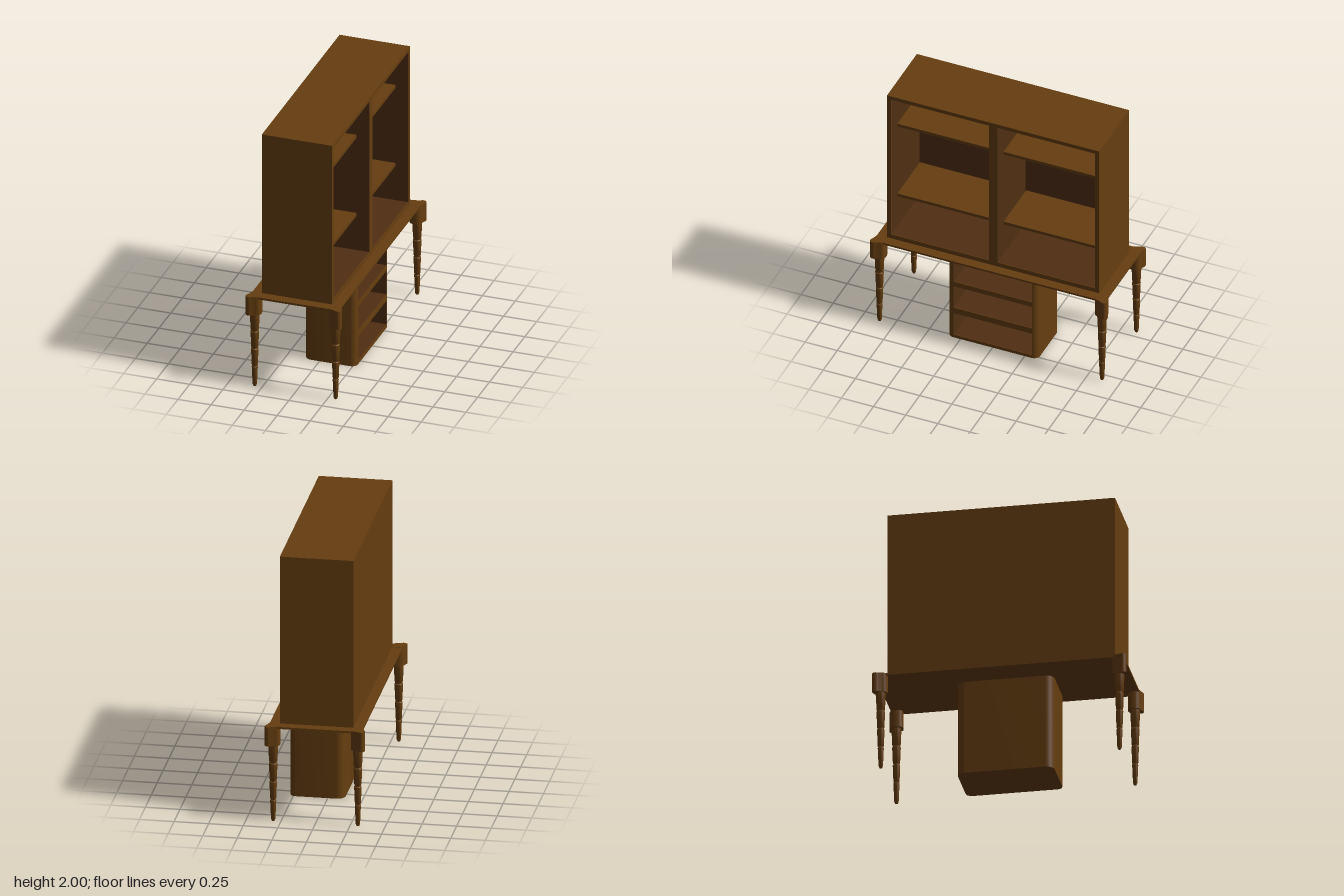
import * as THREE from 'three';
import { toCreasedNormals } from 'three/addons/utils/BufferGeometryUtils.js';

export function createModel() {
  const model = new THREE.Group();
  model.name = 'deskWithBookcase';
  const wood = new THREE.MeshStandardMaterial({ color: 0x663e10 });
  wood.name = 'brown wood';
  const dark = new THREE.MeshStandardMaterial({ color: 0x502f12 });
  dark.name = 'dark interior wood';

  const add = (name, geo, mat = wood, parent = model) => {
    const m = new THREE.Mesh(geo, mat);
    m.name = name;
    parent.add(m);
    return m;
  };
  // Box given by its limits on each axis
  const span = (x0, x1, y0, y1, z0, z1) =>
    new THREE.BoxGeometry(x1 - x0, y1 - y0, z1 - z0)
      .translate((x0 + x1) / 2, (y0 + y1) / 2, (z0 + z1) / 2);
  // Inside-facing box, open towards +x
  const lining = (...limits) => {
    const g = span(...limits);
    g.setIndex(Array.from(g.index.array).slice(6).reverse());
    g.clearGroups();
    const n = g.attributes.normal;
    for (let i = 0; i < n.array.length; i++) n.array[i] *= -1;
    return g;
  };
  // Plan outline (x, z) raised from y0 to y1, smooth around its curves
  const raise = (shape, y0, y1) => {
    const g = new THREE.ExtrudeGeometry(shape, { depth: y1 - y0, bevelEnabled: false, curveSegments: 10 });
    g.rotateX(-Math.PI / 2).translate(0, y0, 0);
    return toCreasedNormals(g, 0.6);
  };
  const rect = (C, x0, x1, y0, y1) => new C([
    new THREE.Vector2(x0, y0), new THREE.Vector2(x1, y0),
    new THREE.Vector2(x1, y1), new THREE.Vector2(x0, y1)]);

  // Table top
  add('tableTop', span(-0.337, 0.337, 0.715, 0.73, -0.9, 0.9));

  // Bookcase frame with two openings, and its back
  const frame = rect(THREE.Shape, -0.825, 0.825, 0.73, 2);
  frame.holes.push(rect(THREE.Path, 0.033, 0.793, 0.765, 1.97), rect(THREE.Path, -0.793, -0.033, 0.765, 1.97));
  add('bookcaseFrame', new THREE.ExtrudeGeometry(frame, { depth: 0.5, bevelEnabled: false })
    .rotateY(Math.PI / 2).translate(-0.235, 0, 0));
  add('bookcaseBack', span(-0.267, -0.235, 0.73, 2, -0.825, 0.825));

  // Dark lining and shelves in each bay
  for (const s of [1, -1]) {
    const z = s * 0.413;
    add('bookcaseLining', lining(-0.233, 0.263, 0.767, 1.968, z - 0.378, z + 0.378), dark);
    for (const y of [1.055, 1.68])
      add('shelf', span(-0.232, 0.17, y - 0.012, y + 0.012, z - 0.373, z + 0.373));
  }

  // Drawer unit: shell with rounded upright edges, open towards +x
  const H = Math.PI / 2, shell = new THREE.Shape();
  shell.moveTo(0.275, 0.305);
  shell.absarc(0.23, 0.305, 0.045, 0, H);
  shell.absarc(-0.06, 0.29, 0.06, H, 2 * H);
  shell.absarc(-0.06, -0.29, 0.06, 2 * H, 3 * H);
  shell.absarc(0.23, -0.305, 0.045, 3 * H, 4 * H);
  shell.lineTo(-0.09, -0.305);
  shell.lineTo(-0.09, 0.305);
  shell.closePath();
  add('drawerUnitShell', raise(shell, 0, 0.715));
  for (const [y0, y1] of [[0, 0.025], [0.217, 0.265], [0.457, 0.498], [0.69, 0.715]])
    add('drawerUnitRail', span(-0.09, 0.275, y0, y1, -0.305, 0.305));
  for (const [y0, y1] of [[0.025, 0.217], [0.265, 0.457], [0.498, 0.69]])
    add('drawerUnitLining', lining(-0.088, 0.273, y0 + 0.002, y1 - 0.002, -0.303, 0.303), dark);

  // Leg block outline, bulging towards the outer corner
  const V = (x, y) => new THREE.Vector2(x, y);
  const half = [[-0.047, -0.03], [-0.05, 0.005], [-0.037, 0.033], [0, 0.044], [0.022, 0.055], [0.041, 0.055]];
  const outline = [...half.map(([x, y]) => V(x, y)), ...half.slice().reverse().map(([x, y]) => V(y, x))];
  const curve = new THREE.SplineCurve([...outline, outline[0]]);
  const pts = curve.getPoints(48).slice(0, -1);

  // Turned leg profile with three grooves
  const profile = [[0, 0], [0.01, 0.002], [0.016, 0.018], [0.022, 0.158], [0.018, 0.163], [0.018, 0.168],
    [0.022, 0.174], [0.027, 0.3], [0.022, 0.305], [0.022, 0.312], [0.026, 0.318], [0.031, 0.44],
    [0.026, 0.446], [0.026, 0.452], [0.03, 0.458], [0.036, 0.585]].map(([r, y]) => V(r, y));
  const turned = toCreasedNormals(new THREE.LatheGeometry(profile, 24), 0.6);

  for (const sx of [1, -1]) for (const sz of [1, -1]) {
    const leg = new THREE.Group();
    leg.name = (sz > 0 ? 'front' : 'back') + (sx > 0 ? 'Left' : 'Right') + 'Leg';
    leg.position.set(sx * 0.306, 0, sz * 0.865);
    add('legBlock', raise(new THREE.Shape(pts.map(p => V(p.x * sx, -p.y * sz))), 0.585, 0.731), wood, leg);
    add('turnedLeg', turned, wood, leg);
    model.add(leg);
  }
  return model;
}
